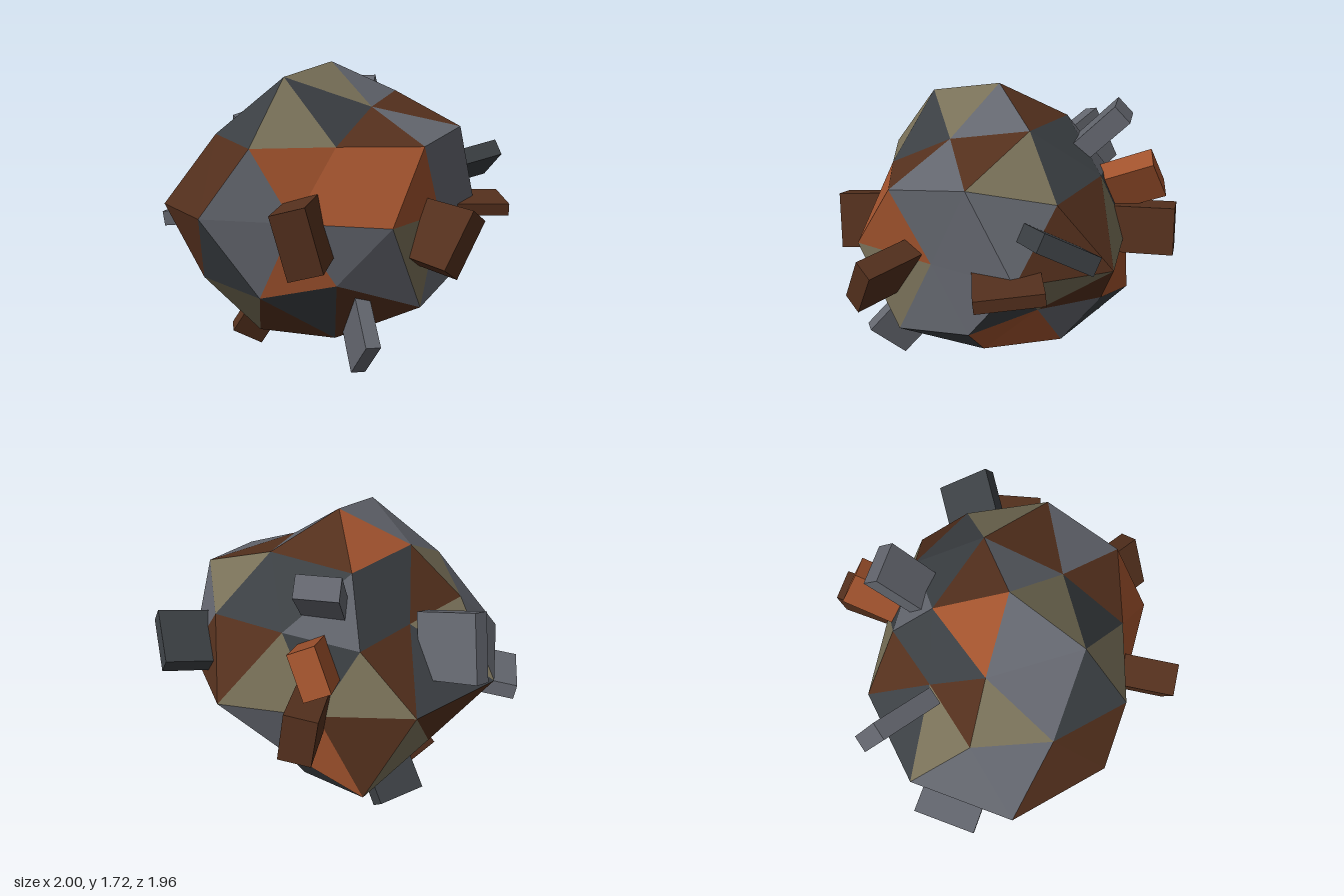
import * as THREE from 'three';

const CENTER = new THREE.Vector3(-0.06, 0.9, -0.02);
const COLORS = { R: 0xa0522d, D: 0x54301d, S: 0x63666e, K: 0x3b3f43, O: 0x787058 };
const NAMES = { R: 'rust', D: 'brown', S: 'steel', K: 'charcoal', O: 'olive' };
const materials = {};
const material = (key) => (materials[key] ??= new THREE.MeshStandardMaterial({ color: COLORS[key], flatShading: true }));

// One ring of shell corners: unit height, first azimuth in degrees, radius of each corner
function ring(height, start, radii) {
  const flat = Math.sqrt(1 - height * height);
  return radii.map((r, i) => {
    const a = THREE.MathUtils.degToRad(start + (i * 360) / radii.length);
    return new THREE.Vector3(flat * Math.cos(a), height, flat * Math.sin(a)).multiplyScalar(r).add(CENTER);
  });
}

// Faceted shell: a once-divided icosahedron with uneven radii and coloured panels
function createShell() {
  const top = ring(1, 0, [0.82])[0];
  const cap = ring(0.851, 0, [0.77, 0.67, 0.855, 0.75, 0.74]);
  const upper = ring(0.447, 0, [0.82, 0.85, 0.83, 0.77, 0.71]);
  const upperMid = ring(0.526, 36, [0.875, 0.72, 0.8, 0.62, 0.75]);
  const equator = ring(0, 18, [0.85, 0.7, 0.86, 0.7, 0.88, 0.985, 0.95, 0.857, 0.75, 0.9]);
  const lowerMid = ring(-0.526, 0, [0.64, 0.88, 0.8, 0.8, 0.96]);
  const lower = ring(-0.447, 36, [0.82, 0.735, 0.86, 0.8, 0.765]);
  const base = ring(-0.851, 36, [0.78, 0.81, 0.86, 0.865, 0.835]);
  const bottom = ring(-1, 0, [0.81])[0];

  // Panel colours: three corners, then the middle of each large triangle
  const capColors = ['SOSD', 'ODOK', 'SKOS', 'RDKK', 'DSKK'];
  const upperColors = ['SSSS', 'RRSR', 'DSDD', 'ODDK', 'KDSO'];
  const lowerColors = ['SSRO', 'RKSS', 'DDSK', 'OROD', 'DKDO'];
  const baseColors = ['KSRR', 'OKDK', 'KKOD', 'DKKD', 'DKKR'];

  const panels = {};
  const addTriangle = (key, a, b, c) => {
    const normal = b.clone().sub(a).cross(c.clone().sub(a));
    const outward = normal.dot(a.clone().add(b).add(c).divideScalar(3).sub(CENTER)) > 0;
    for (const p of outward ? [a, b, c] : [a, c, b]) (panels[key] ??= []).push(p.x, p.y, p.z);
  };
  const addLarge = (colors, a, b, c, ab, bc, ca) => {
    addTriangle(colors[0], a, ab, ca);
    addTriangle(colors[1], b, bc, ab);
    addTriangle(colors[2], c, ca, bc);
    addTriangle(colors[3], ab, bc, ca);
  };
  for (let k = 0; k < 5; k++) {
    const next = (k + 1) % 5;
    const prev = (k + 4) % 5;
    const e0 = equator[2 * k];
    const e1 = equator[2 * k + 1];
    const e2 = equator[(2 * k + 2) % 10];
    addLarge(capColors[k], top, upper[k], upper[next], cap[k], upperMid[k], cap[next]);
    addLarge(upperColors[k], upper[k], upper[next], lower[k], upperMid[k], e1, e0);
    addLarge(lowerColors[k], lower[k], lower[next], upper[next], lowerMid[next], e2, e1);
    addLarge(baseColors[k], bottom, lower[prev], lower[k], base[prev], lowerMid[k], base[k]);
  }

  const shell = new THREE.Group();
  shell.name = 'facetedShell';
  for (const [key, points] of Object.entries(panels)) {
    const geometry = new THREE.BufferGeometry();
    geometry.setAttribute('position', new THREE.Float32BufferAttribute(points, 3));
    geometry.computeVertexNormals();
    const mesh = new THREE.Mesh(geometry, material(key));
    mesh.name = `${NAMES[key]}Panels`;
    shell.add(mesh);
  }
  return shell;
}

// Plate standing out from the shell: centre of its outer end, wide direction, [width, thickness, length]
function createPlate(name, key, end, wide, size) {
  const out = new THREE.Vector3(...end).sub(CENTER).normalize();
  const across = new THREE.Vector3(...wide).addScaledVector(out, -out.dot(new THREE.Vector3(...wide))).normalize();
  const mesh = new THREE.Mesh(new THREE.BoxGeometry(...size), material(key));
  mesh.quaternion.setFromRotationMatrix(new THREE.Matrix4().makeBasis(across, out.clone().cross(across), out));
  mesh.position.set(...end).addScaledVector(out, -size[2] / 2);
  mesh.name = name;
  return mesh;
}

export function createModel() {
  const model = new THREE.Group();
  model.name = 'scrapBall';
  model.add(createShell());

  const plates = [
    ['frontRightPlate', 'D', [-0.54, 0.85, 0.81], [0.29, -0.95, 0], [0.33, 0.18, 0.36]],
    ['frontLeftPlate', 'D', [0.29, 0.81, 0.93], [0.57, 0.82, 0], [0.33, 0.12, 0.36]],
    ['lowerFrontPlate', 'S', [-0.14, 0.19, 0.7], [0, 0.72, 0.69], [0.29, 0.08, 0.32]],
    ['lowerRightPlate', 'D', [-0.53, 0.06, -0.29], [0.8, -0.57, 0], [0.2, 0.1, 0.3]],
    ['leftFlatPlate', 'D', [0.89, 0.9, 0.33], [-0.35, -0.1, 0.93], [0.35, 0.07, 0.36]],
    ['leftUpperPlate', 'K', [0.965, 1.14, 0.06], [0.05, -0.5, -0.86], [0.32, 0.1, 0.3]],
    ['topBackPlate', 'S', [0.35, 1.61, -0.58], [0.8, 0, 0.6], [0.22, 0.12, 0.42]],
    ['backLeftUpperPlate', 'R', [0.48, 1.27, -0.75], [0.3, 0.93, 0.2], [0.24, 0.14, 0.36]],
    ['backLeftPlate', 'D', [0.58, 0.96, -0.82], [0, 0.97, -0.2], [0.27, 0.17, 0.36]],
    ['backRightPlate', 'S', [-0.87, 0.78, -0.68], [0.62, 0.05, -0.78], [0.35, 0.09, 0.32]],
    ['backUpperPlate', 'S', [-0.4, 1.24, -0.9], [-0.15, 0.9, 0.4], [0.36, 0.1, 0.36]],
    ['lowerBackPlate', 'K', [-0.09, 0.21, -0.72], [1, 0, 0], [0.28, 0.11, 0.32]],
  ];
  for (const plate of plates) model.add(createPlate(...plate));
  return model;
}
